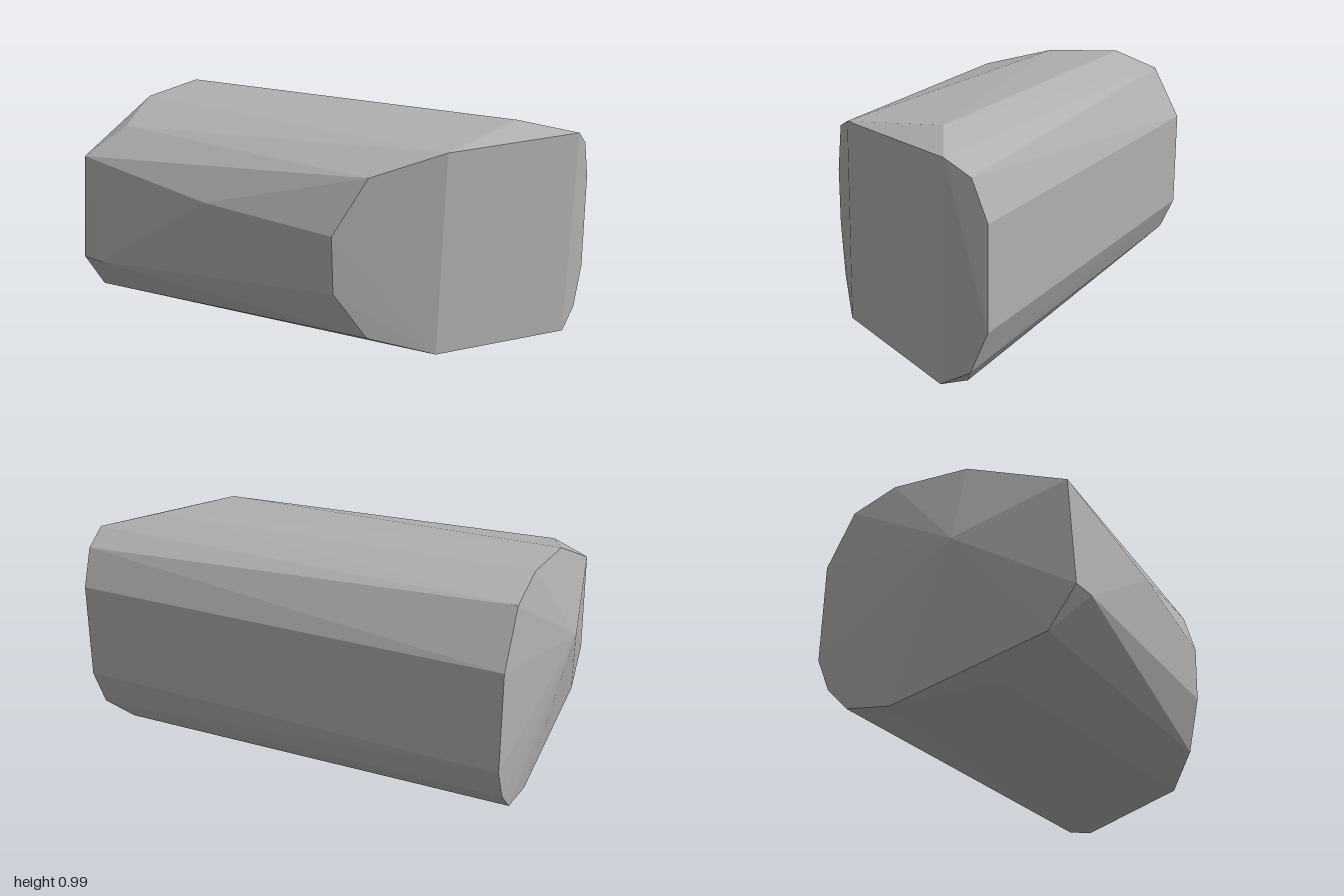
import * as THREE from 'three';
import { ConvexGeometry } from 'three/addons/geometries/ConvexGeometry.js';

export function createModel() {
  const model = new THREE.Group();
  const stone = new THREE.MeshStandardMaterial({ color: 0xb0b0b0 });
  stone.name = 'stoneGrey';

  // Left end: shallow apex and the wide ring behind it, as [x, y, z]
  const leftEnd = [
    [-1, 0.6, 0.09],
    [-0.91, 0.99, -0.26], [-0.91, 0.965, 0.09], [-0.8, 0.89, 0.385], [-0.91, 0.77, 0.54],
    [-0.91, 0.32, 0.575], [-0.81, 0.315, 0.585], [-0.91, 0.16, 0.46], [-0.81, 0.055, 0.21],
    [-0.91, 0.01, -0.215], [-0.81, 0.005, -0.215], [-0.91, 0.04, -0.42], [-0.91, 0.14, -0.52],
    [-0.91, 0.28, -0.582], [-0.91, 0.7, -0.582], [-0.91, 0.85, -0.5], [-0.91, 0.925, -0.46],
  ];
  // Ridge point on the front side
  const ridge = [[-0.25, 0.66, 0.555]];
  // Right end: ring cut back obliquely towards the front
  const rightEnd = [
    [0.77, 0.975, -0.26], [0.69, 0.92, 0.22], [0.45, 0.83, 0.42], [0.34, 0.6, 0.515],
    [0.345, 0.36, 0.51], [0.45, 0.165, 0.42], [0.67, 0.08, 0.24], [0.98, 0.048, -0.36],
    [0.88, 0.035, -0.42], [0.98, 0.12, -0.485], [0.98, 0.29, -0.557], [0.98, 0.7, -0.557],
    [0.985, 0.86, -0.495], [0.995, 0.922, -0.39],
  ];

  const points = [...leftEnd, ...ridge, ...rightEnd].map((p) => new THREE.Vector3(...p));
  const block = new THREE.Mesh(new ConvexGeometry(points), stone);
  block.name = 'facetedStone';
  model.add(block);
  return model;
}
